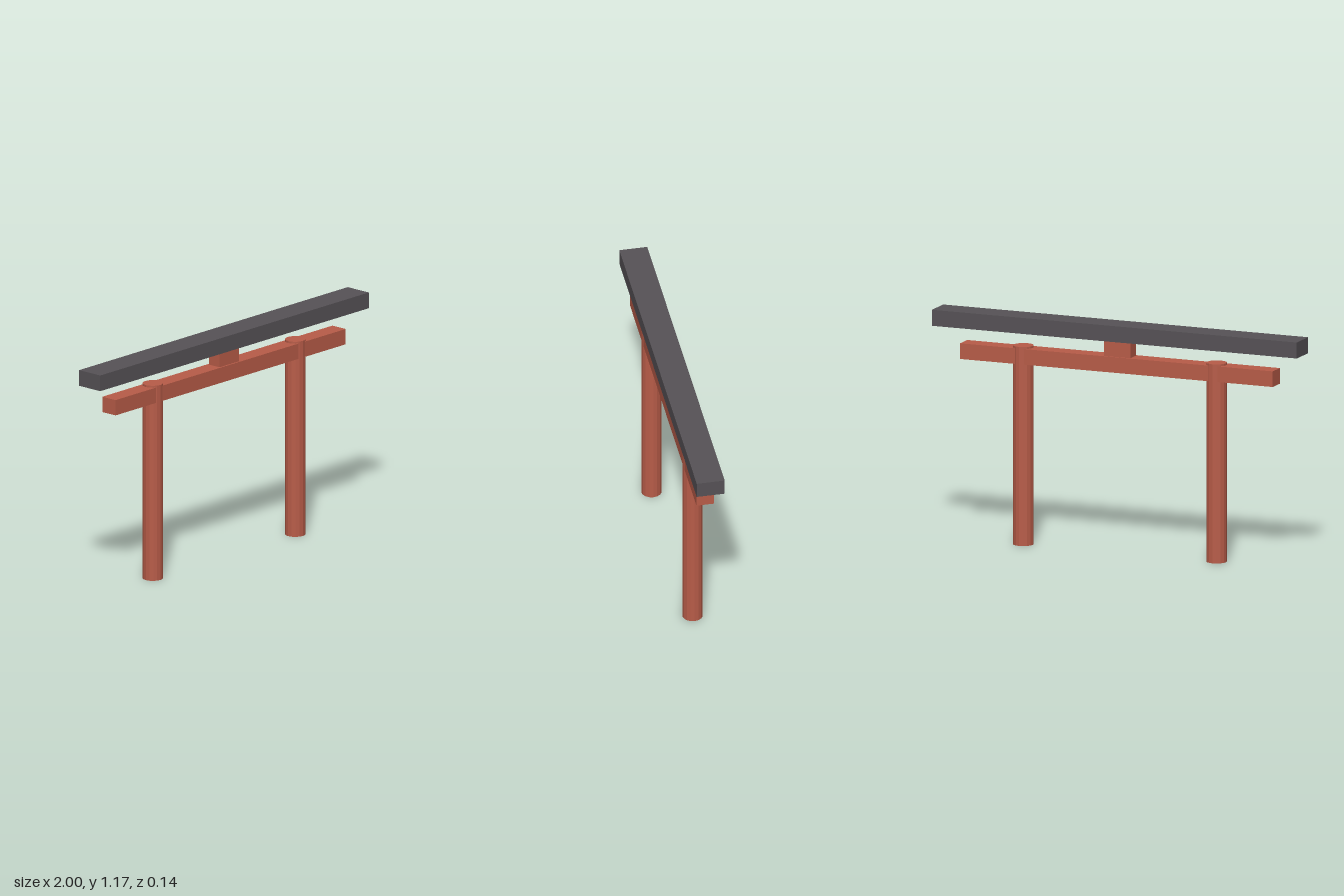
import * as THREE from 'three';

export function createModel() {
  const gate = new THREE.Group();
  gate.name = 'gate';
  const red = new THREE.MeshStandardMaterial({ color: 0xb85c48, flatShading: true });
  const dark = new THREE.MeshStandardMaterial({ color: 0x565256, flatShading: true });

  const add = (name, geometry, material, x, y) => {
    const mesh = new THREE.Mesh(geometry, material);
    mesh.name = name;
    mesh.position.set(x, y, 0);
    gate.add(mesh);
  };

  // Round pillars, poking slightly above the tie beam
  const pillar = new THREE.CylinderGeometry(0.052, 0.052, 1.02, 16);
  add('leftPillar', pillar, red, 0.53, 0.51);
  add('rightPillar', pillar, red, -0.53, 0.51);

  // Tie beam through the pillars, with the central strut above it
  add('tieBeam', new THREE.BoxGeometry(1.714, 0.08, 0.09), red, 0, 0.97);
  add('centreStrut', new THREE.BoxGeometry(0.146, 0.083, 0.073), red, 0, 1.0515);

  // Dark top lintel
  add('topLintel', new THREE.BoxGeometry(2, 0.082, 0.143), dark, 0, 1.134);

  return gate;
}
